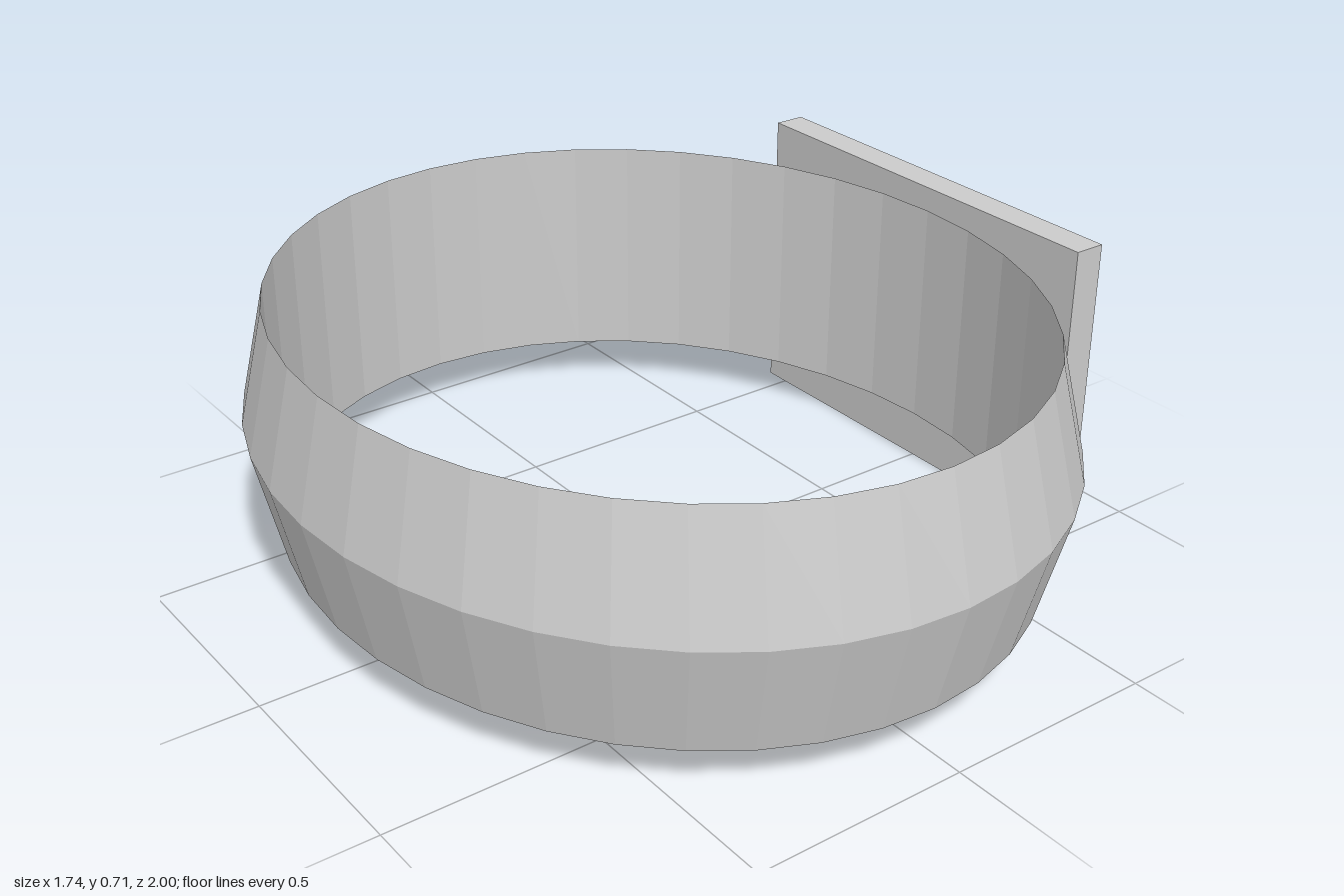
import * as THREE from 'three';

export function createModel() {
  const model = new THREE.Group();
  const material = new THREE.MeshStandardMaterial({ color: 0xcccccc, flatShading: true });

  // Oval band: triangular section with a straight inner wall and an outer ridge
  const section = [
    [0.93, 0.115], [1, 0.384], [0.93, 0.653], [0.93, 0.115],
  ].map(([r, y]) => new THREE.Vector2(r, y));
  const bandGeometry = new THREE.LatheGeometry(section, 40);
  bandGeometry.scale(0.862, 1, 1);
  const band = new THREE.Mesh(bandGeometry, material);
  band.name = 'band';
  band.position.x = -0.009;
  model.add(band);

  // Flat rectangular plate on the left side, slightly towards the back
  const plate = new THREE.Mesh(new THREE.BoxGeometry(0.075, 0.708, 1.028), material);
  plate.name = 'plate';
  plate.position.set(0.8335, 0.354, -0.047);
  model.add(plate);

  return model;
}
